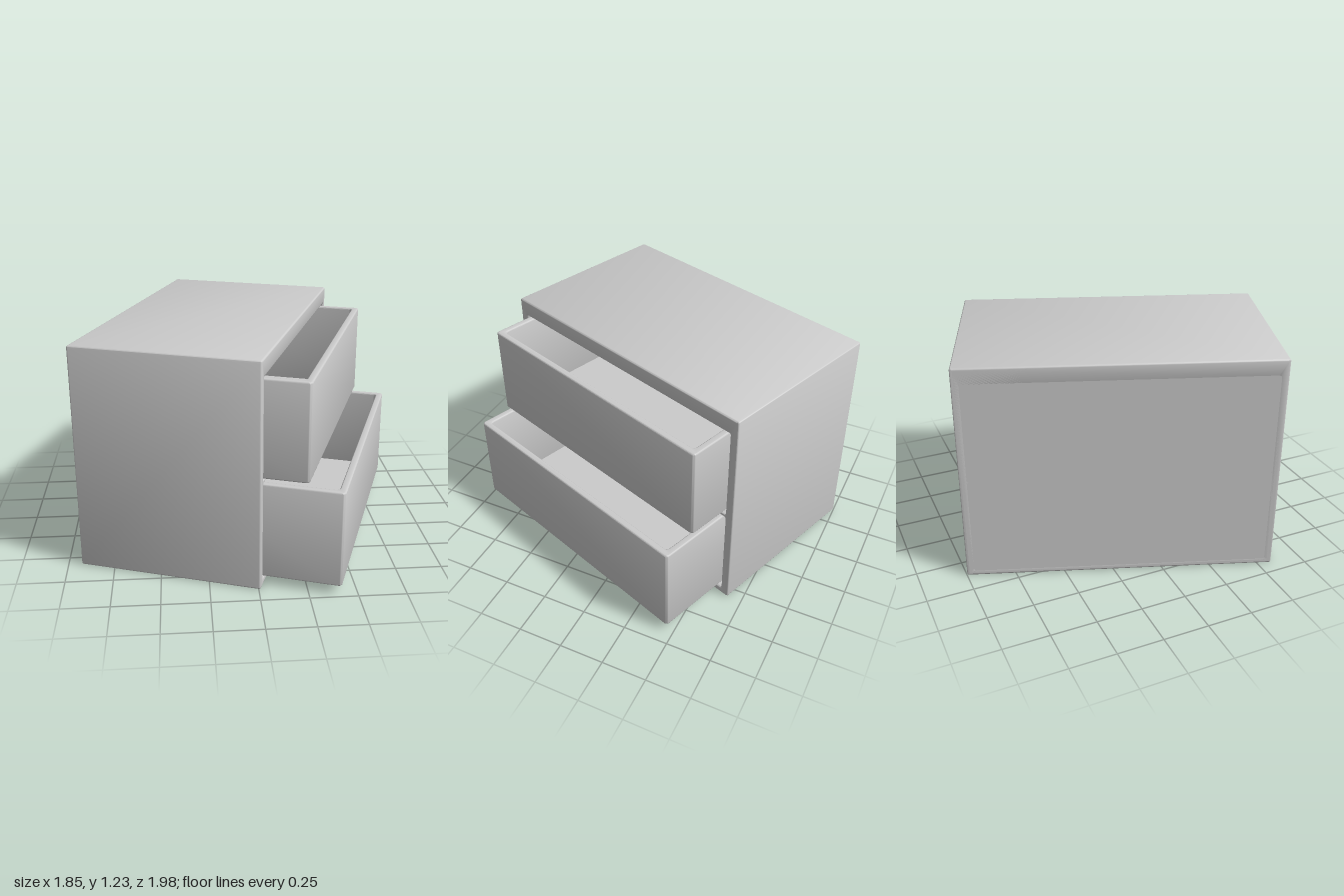
import * as THREE from 'three';
import { toCreasedNormals } from 'three/addons/utils/BufferGeometryUtils.js';

const material = new THREE.MeshStandardMaterial({ color: 0xcccccc });

// Rounded rectangle path centred on (cx, cy)
function roundedRect(target, cx, cy, w, h, r) {
  const x = w / 2 - r, y = h / 2 - r;
  target.absarc(cx + x, cy + y, r, 0, Math.PI / 2);
  target.absarc(cx - x, cy + y, r, Math.PI / 2, Math.PI);
  target.absarc(cx - x, cy - y, r, Math.PI, Math.PI * 1.5);
  target.absarc(cx + x, cy - y, r, Math.PI * 1.5, Math.PI * 2);
  target.closePath();
  return target;
}

// Extrusion of exactly the given outline and depth, with softened edges
function softExtrude(shape, depth, bevel) {
  const geometry = new THREE.ExtrudeGeometry(shape, {
    depth: depth - 2 * bevel, curveSegments: 5,
    bevelThickness: bevel, bevelSize: bevel, bevelOffset: -bevel, bevelSegments: 3,
  });
  geometry.translate(0, 0, bevel);
  return geometry;
}

function addMesh(parent, name, geometry) {
  const mesh = new THREE.Mesh(toCreasedNormals(geometry, 0.6), material);
  mesh.name = name;
  parent.add(mesh);
  return mesh;
}

// Open-topped drawer; its front is at x = 0 and it runs back along -x
function createDrawer(name) {
  const depth = 0.92, width = 1.544, height = 0.52, wall = 0.038;
  const drawer = new THREE.Group();
  drawer.name = name;

  const outline = roundedRect(new THREE.Shape(), -depth / 2, 0, depth, width, 0.02);
  outline.holes.push(roundedRect(new THREE.Path(), -depth / 2, 0, depth - 2 * wall, width - 2 * wall, 0.02));
  addMesh(drawer, 'drawerWalls', softExtrude(outline, height, 0.008).rotateX(-Math.PI / 2));

  const floor = new THREE.BoxGeometry(depth - wall, 0.025, width - wall);
  addMesh(drawer, 'drawerFloor', floor.translate(-depth / 2, 0.0225, 0));
  return drawer;
}

export function createModel() {
  const model = new THREE.Group();
  model.name = 'drawerCabinet';

  // The whole cabinet stands at an angle, drawers opening along its local +x
  const cabinet = new THREE.Group();
  cabinet.name = 'cabinet';
  cabinet.rotation.y = THREE.MathUtils.degToRad(-19.5);
  cabinet.position.set(-0.1825, 0, -0.0475);
  model.add(cabinet);

  const depth = 0.995, width = 1.67, height = 1.225, openingWidth = 1.57;

  // Shell with two drawer openings separated by a thin rail
  const face = roundedRect(new THREE.Shape(), 0, height / 2, width, height, 0.012);
  for (const [bottom, top] of [[0.04, 0.575], [0.595, 1.13]]) {
    face.holes.push(roundedRect(new THREE.Path(), 0, (bottom + top) / 2, openingWidth, top - bottom, 0.006));
  }
  const shell = softExtrude(face, depth, 0.01).rotateY(Math.PI / 2);
  addMesh(cabinet, 'cabinetShell', shell.translate(-depth / 2, 0, 0));

  // Back panel closing the openings
  const back = new THREE.BoxGeometry(0.03, height - 0.03, width - 0.03);
  addMesh(cabinet, 'backPanel', back.translate(-depth / 2 + 0.015, height / 2, 0));

  // Drawers, the lower one pulled out further
  const upper = createDrawer('upperDrawer');
  upper.position.set(0.727, 0.6, 0.006);
  const lower = createDrawer('lowerDrawer');
  lower.position.set(0.907, 0.05, 0.006);
  cabinet.add(upper, lower);

  return model;
}
